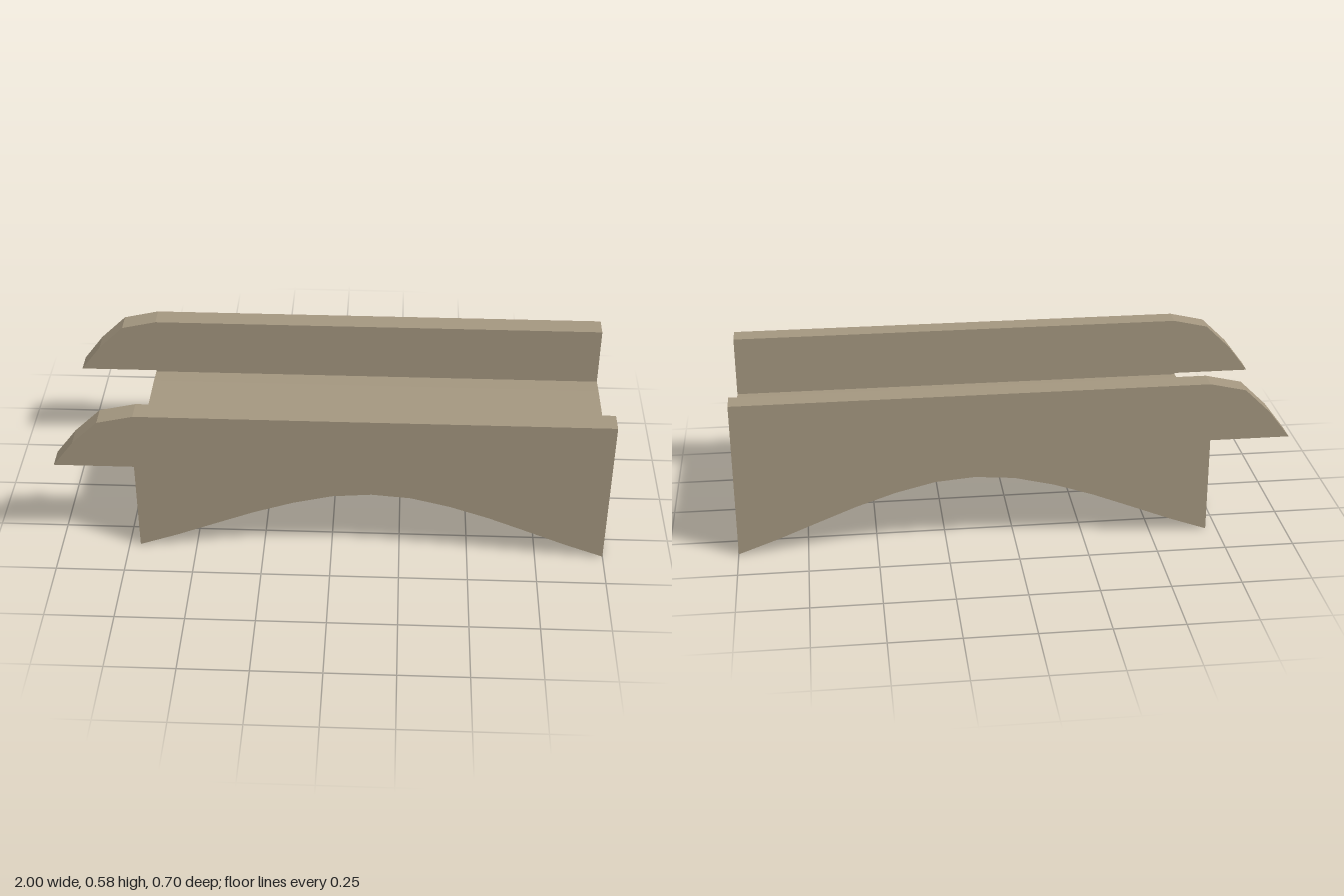
import * as THREE from 'three';

const FLOOR = 0.361, TOP = 0.582, START = -0.71;
const HALF = 0.35, INNER = 0.272, SHOULDER = 0.2;

// underside of the arch, from the right foot (+x) back to the stepped end
const rise = [0, 0.052, 0.11, 0.167, 0.215, 0.25, 0.262];
const arch = [];
for (let i = 0; i <= 12; i++) {
  arch.push(new THREE.Vector2(1 + (START - 1) * i / 12, rise[Math.min(i, 12 - i)]));
}
const points = (list) => list.map(([x, y]) => new THREE.Vector2(x, y));

export function createModel() {
  const model = new THREE.Group();
  model.name = 'archedBridgeSection';
  const stone = new THREE.MeshStandardMaterial({ color: 0xa3967f, flatShading: true });

  // side walls: arch below, parapet above, with a curved overhanging nose
  const wallShape = new THREE.Shape([
    ...arch,
    ...points([[START, FLOOR], [-1, FLOOR], [-0.925, 0.46], [-0.83, 0.552], [-0.7, TOP], [1, TOP]]),
  ]);
  for (const [name, z] of [['frontWall', INNER], ['backWall', -HALF]]) {
    const geometry = new THREE.ExtrudeGeometry(wallShape, { depth: HALF - INNER, bevelEnabled: false });
    const wall = new THREE.Mesh(geometry.translate(0, 0, z), stone);
    wall.name = name;
    model.add(wall);
  }

  // deck between the walls, in three strips so its top falls slightly at both edges
  const deckShape = new THREE.Shape([...arch, ...points([[START, FLOOR], [1, FLOOR]])]);
  const geometry = new THREE.ExtrudeGeometry(deckShape, { depth: 3, steps: 3, bevelEnabled: false });
  const stations = [-INNER, -SHOULDER, SHOULDER, INNER];
  const pos = geometry.attributes.position;
  for (let i = 0; i < pos.count; i++) {
    const z = stations[Math.round(pos.getZ(i))];
    if (Math.abs(z) === INNER && pos.getY(i) > FLOOR - 0.001) pos.setY(i, FLOOR - 0.005);
    pos.setZ(i, z);
  }
  geometry.computeVertexNormals();
  const deck = new THREE.Mesh(geometry, stone);
  deck.name = 'deck';
  model.add(deck);

  return model;
}
